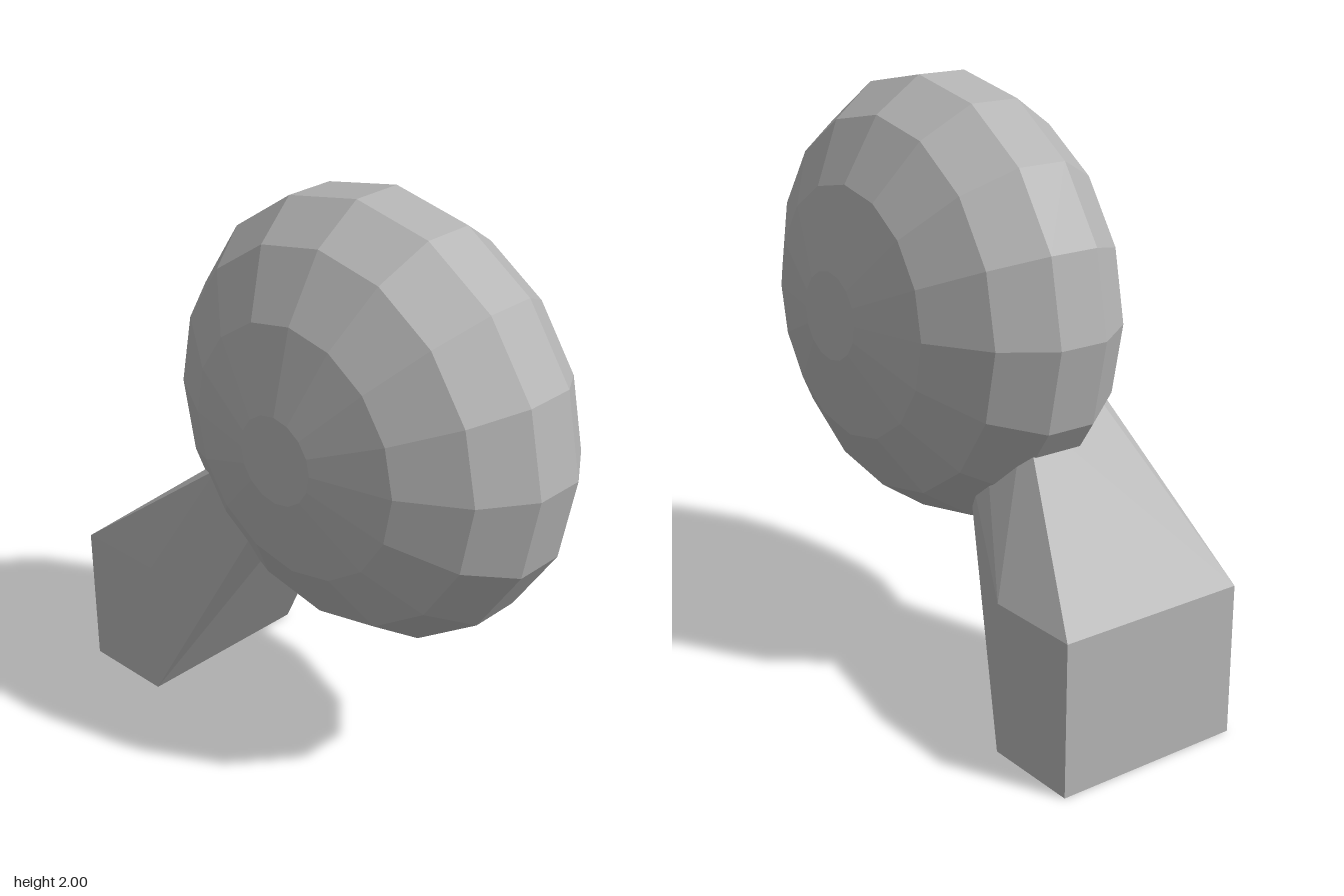
import * as THREE from 'three';
import { ConvexGeometry } from 'three/addons/geometries/ConvexGeometry.js';

export function createModel() {
  const model = new THREE.Group();
  const grey = new THREE.MeshStandardMaterial({ color: 0xb4b4b4 });
  grey.name = 'grey';

  // Flattened faceted ball: eight rings around the z axis, with flat end caps
  const RADIUS = 0.753, DEPTH = 0.454, RINGS = 8;
  const profile = [new THREE.Vector2(0, -DEPTH * Math.cos(Math.PI / 16))];
  for (let i = 0; i < RINGS; i++) {
    const a = ((i + 0.5) / RINGS - 0.5) * Math.PI;
    profile.push(new THREE.Vector2(RADIUS * Math.cos(a), DEPTH * Math.sin(a)));
  }
  profile.push(new THREE.Vector2(0, DEPTH * Math.cos(Math.PI / 16)));
  const headGeometry = new THREE.LatheGeometry(profile, 16).toNonIndexed();
  headGeometry.rotateX(Math.PI / 2);
  headGeometry.computeVertexNormals();
  const head = new THREE.Mesh(headGeometry, grey);
  head.name = 'head';
  head.position.set(0.172, 1.262, 0);
  model.add(head);

  // Foot block tapering into a twisted neck that ends inside the head
  const points = [];
  for (const x of [-0.915, -0.58])
    for (const y of [0, 0.51])
      for (const z of [-0.335, 0.335]) points.push(new THREE.Vector3(x, y, z));
  const neckEnd = [
    [-0.315, 0.996, 0.26], [-0.25, 1.02, 0.302], [-0.06, 0.894, 0.291], [-0.06, 0.775, 0.238],
    [-0.315, 0.996, -0.03], [-0.08, 0.955, -0.02], [-0.06, 0.775, -0.07],
  ];
  for (const p of neckEnd) points.push(new THREE.Vector3(...p));
  const leg = new THREE.Mesh(new ConvexGeometry(points), grey);
  leg.name = 'leg';
  model.add(leg);

  return model;
}
